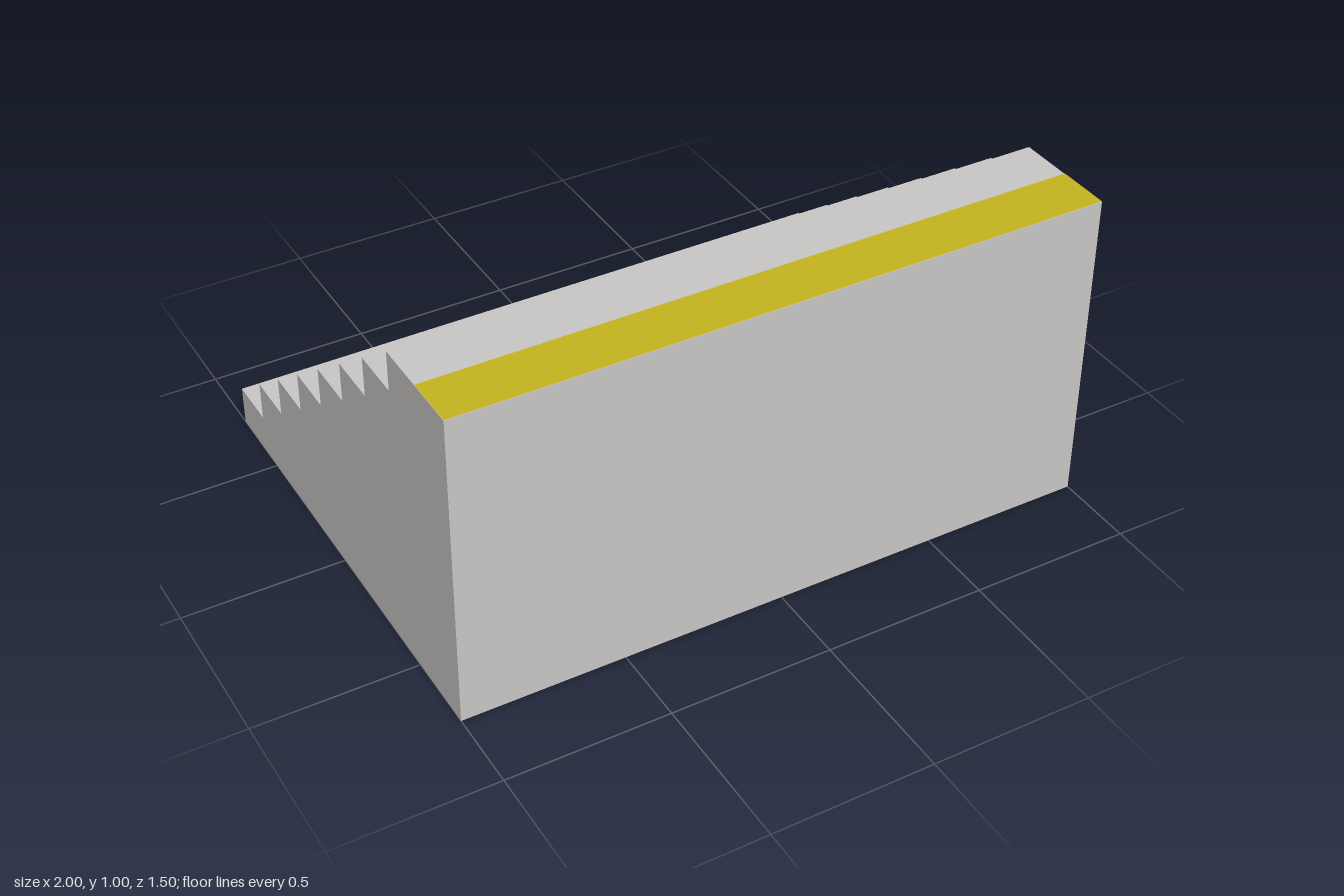
import * as THREE from 'three';

const WIDTH = 2, STEPS = 8, RISE = 1 / STEPS, RUN = 1.5 / (STEPS + 1), BACK = -0.75, FRONT = 0.75;

export function createModel() {
  const concrete = new THREE.MeshStandardMaterial({ color: 0xcac8c6 });
  concrete.name = 'concrete grey';
  const yellow = new THREE.MeshStandardMaterial({ color: 0xc6b41f });
  yellow.name = 'safety yellow';

  const group = new THREE.Group();
  group.name = 'platformStairs';

  // Stepped side profile: shape x is model z; the top step is a double-depth landing
  const profile = new THREE.Shape();
  profile.moveTo(FRONT, 0);
  profile.lineTo(FRONT, 1);
  for (let i = STEPS - 1; i >= 0; i--) {
    const z = BACK + i * RUN;
    profile.lineTo(z, (i + 1) * RISE);
    profile.lineTo(z, i * RISE);
  }
  profile.closePath();

  // Solid block of stairs, extruded across the full width
  const stairGeometry = new THREE.ExtrudeGeometry(profile, { depth: WIDTH, bevelEnabled: false });
  stairGeometry.translate(0, 0, -WIDTH / 2);
  stairGeometry.rotateY(-Math.PI / 2);
  const stairs = new THREE.Mesh(stairGeometry, concrete);
  stairs.name = 'stairs';
  group.add(stairs);

  // Painted warning strip along the landing's front edge
  const stripGeometry = new THREE.PlaneGeometry(WIDTH, RUN);
  stripGeometry.rotateX(-Math.PI / 2);
  const strip = new THREE.Mesh(stripGeometry, yellow);
  strip.name = 'warningStrip';
  strip.position.set(0, 1.002, FRONT - RUN / 2);
  group.add(strip);

  return group;
}
